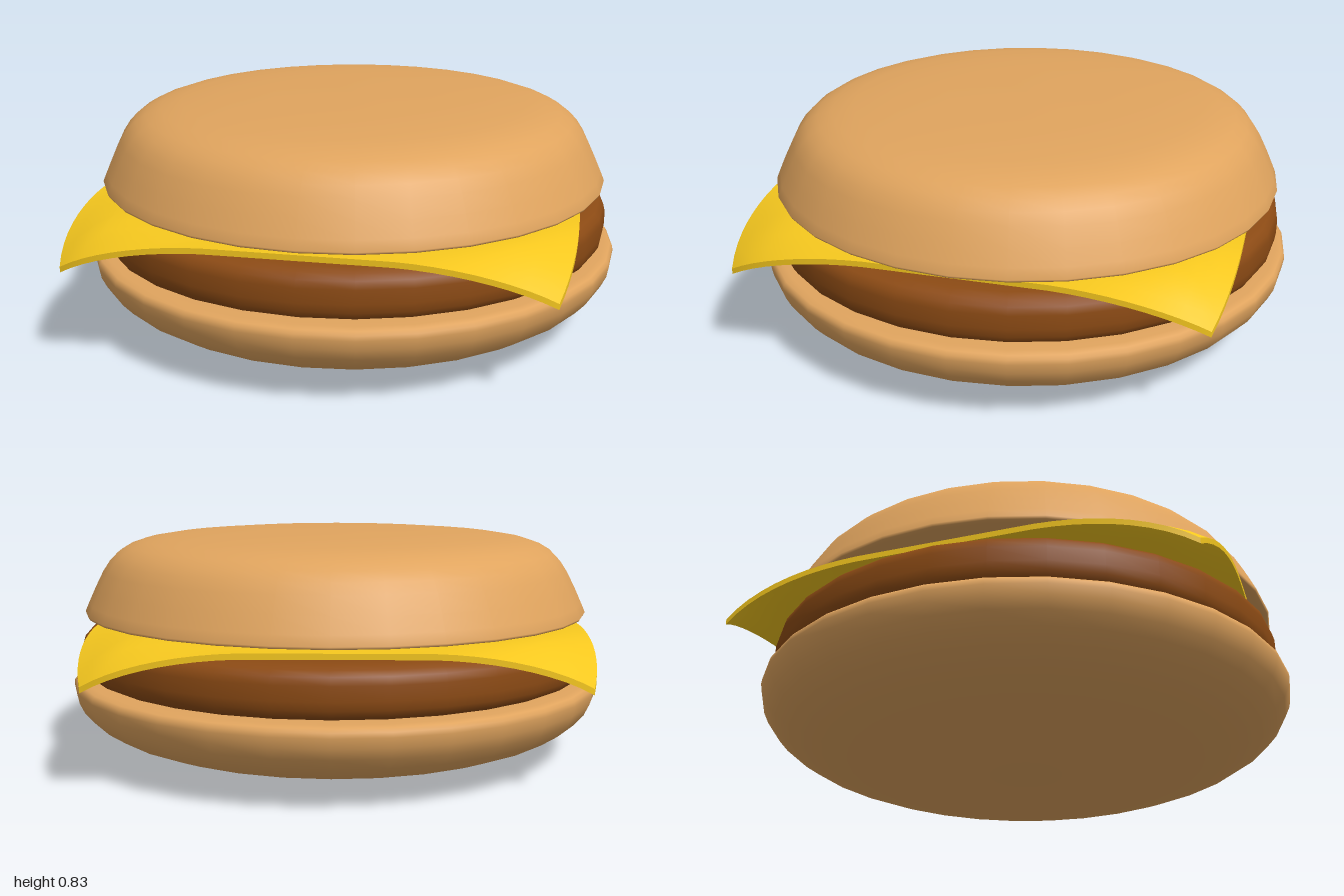
import * as THREE from 'three';

const BUN = 0xe0a45e, PATTY = 0x8b4a14, CHEESE = 0xf5c71e;

// Round layer turned from a [radius, height] profile running bottom to top
function layer(name, color, profile) {
  const points = profile.map(([r, y]) => new THREE.Vector2(r, y));
  const mesh = new THREE.Mesh(
    new THREE.LatheGeometry(points, 32),
    new THREE.MeshStandardMaterial({ color })
  );
  mesh.name = name;
  return mesh;
}

// Square slice, flat in the middle, with corners drooping down and inward
function cheeseSlice() {
  const half = 0.88, thickness = 0.02;
  const geometry = new THREE.BoxGeometry(half * 2, thickness, half * 2, 28, 1, 28);
  const pos = geometry.attributes.position;
  for (let i = 0; i < pos.count; i++) {
    const x = pos.getX(i), z = pos.getZ(i);
    const r = Math.hypot(x, z);
    const droop = Math.max(0, (r - 0.93) / (half * Math.SQRT2 - 0.93));
    const edge = THREE.MathUtils.smoothstep(Math.max(Math.abs(x), Math.abs(z)), 0.65, half);
    const pull = 1 - 0.062 * droop * droop;
    const y = pos.getY(i) + 0.51 - 0.015 * edge - 0.122 * Math.pow(droop, 1.5);
    pos.setXYZ(i, x * pull, y, z * pull);
  }
  geometry.computeVertexNormals();
  const mesh = new THREE.Mesh(geometry, new THREE.MeshStandardMaterial({ color: CHEESE }));
  mesh.name = 'cheeseSlice';
  mesh.position.set(-0.016, 0, 0.015);
  return mesh;
}

export function createModel() {
  const group = new THREE.Group();
  group.name = 'cheeseburger';

  group.add(layer('bottomBun', BUN, [
    [0, 0.003], [0.2, 0.006], [0.4, 0.015], [0.58, 0.03], [0.7, 0.05], [0.8, 0.078],
    [0.88, 0.11], [0.94, 0.15], [0.975, 0.19], [0.994, 0.23], [1, 0.265],
    [0.998, 0.282], [0.988, 0.294], [0.965, 0.3], [0.9, 0.3], [0, 0.3]
  ]));

  group.add(layer('patty', PATTY, [
    [0, 0.3], [0.88, 0.3], [0.915, 0.303], [0.943, 0.316], [0.957, 0.34], [0.961, 0.37],
    [0.961, 0.42], [0.954, 0.447], [0.936, 0.465], [0.905, 0.476], [0.86, 0.48], [0, 0.48]
  ]));

  group.add(cheeseSlice());

  group.add(layer('topBun', BUN, [
    [0, 0.53], [0.93, 0.53], [0.945, 0.531], [0.95, 0.54], [0.935, 0.575], [0.91, 0.63],
    [0.88, 0.69], [0.855, 0.728], [0.825, 0.759], [0.785, 0.783], [0.73, 0.802],
    [0.65, 0.815], [0.5, 0.827], [0.3, 0.834], [0, 0.837]
  ]));

  return group;
}
